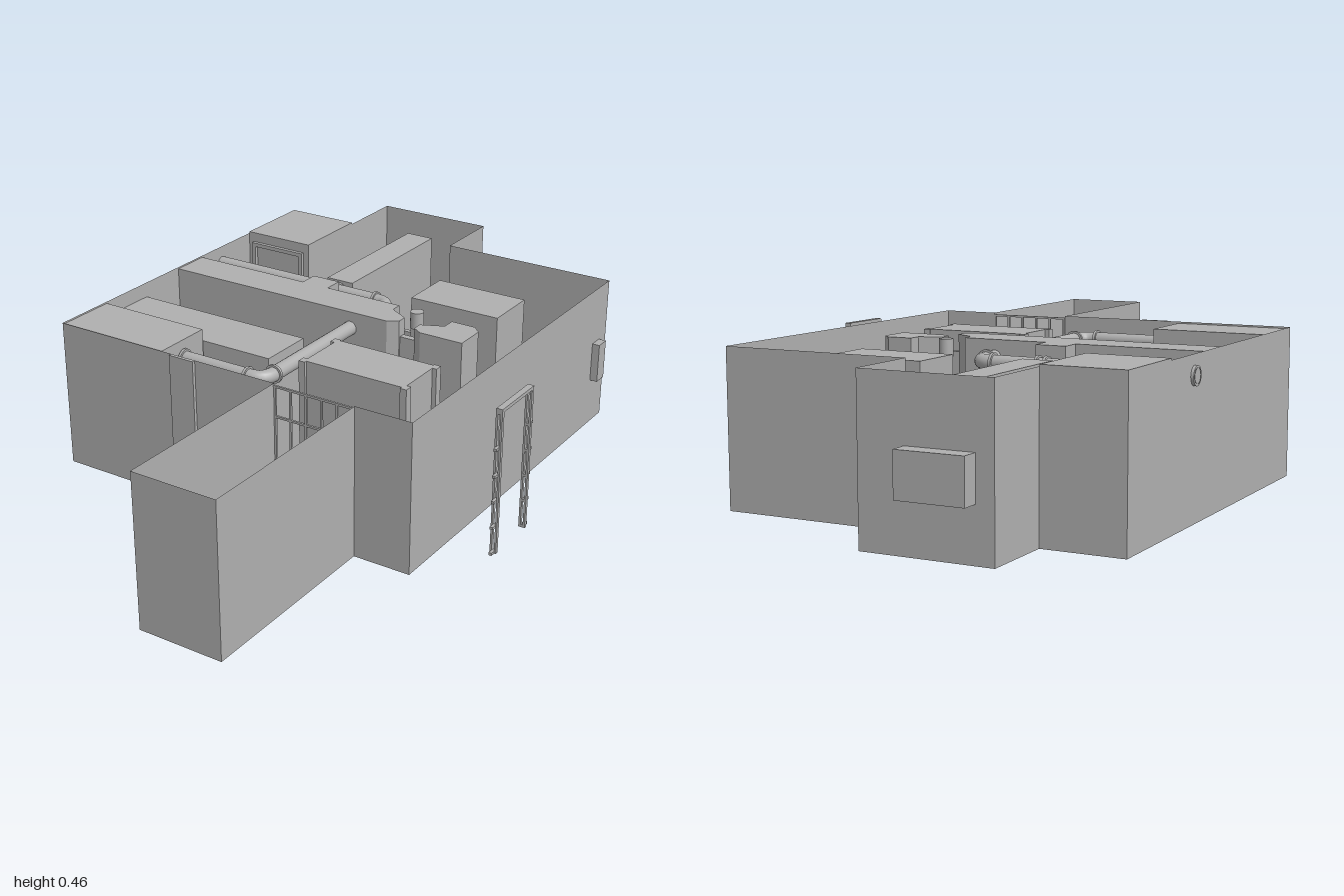
import * as THREE from 'three';

const grey = new THREE.MeshStandardMaterial({ color: 0xb0b0b0, side: THREE.DoubleSide });
grey.name = 'plain grey';

const FLOOR = 0.015, TOP = 0.455;

export function createModel() {
  const model = new THREE.Group();
  model.name = 'openRoofBuilding';

  const add = (name, geo) => {
    const m = new THREE.Mesh(geo, grey);
    m.name = name;
    model.add(m);
    return m;
  };
  // box given by its extents
  const box = (name, x0, x1, y0, y1, z0, z1) => {
    const m = add(name, new THREE.BoxGeometry(x1 - x0, y1 - y0, z1 - z0));
    m.position.set((x0 + x1) / 2, (y0 + y1) / 2, (z0 + z1) / 2);
    return m;
  };
  // upright sheet between two plan points
  const wall = (name, [xa, za], [xb, zb], y0 = FLOOR, y1 = TOP) => {
    const m = add(name, new THREE.PlaneGeometry(Math.hypot(xb - xa, zb - za), y1 - y0));
    m.position.set((xa + xb) / 2, (y0 + y1) / 2, (za + zb) / 2);
    m.rotation.y = Math.atan2(-(zb - za), xb - xa);
    return m;
  };
  // upright prism from a plan outline of [x, z] points
  const plan = (pts) => new THREE.Shape(pts.map(([x, z]) => new THREE.Vector2(x, -z)));
  const prism = (name, pts, y0, y1) => {
    const g = new THREE.ExtrudeGeometry(plan(pts), { depth: y1 - y0, bevelEnabled: false });
    g.rotateX(-Math.PI / 2);
    const m = add(name, g);
    m.position.y = y0;
    return m;
  };
  // sloping sheet falling towards +x
  const ramp = (name, x0, x1, yHigh, yLow, z0, z1) => {
    const m = add(name, new THREE.PlaneGeometry(Math.hypot(x1 - x0, yHigh - yLow), z1 - z0).rotateX(-Math.PI / 2));
    m.position.set((x0 + x1) / 2, (yHigh + yLow) / 2, (z0 + z1) / 2);
    m.rotation.z = -Math.atan2(yHigh - yLow, x1 - x0);
    return m;
  };

  // floor with a shaft opening
  const outline = [
    [0.34, 0.42], [0.51, 0.42], [0.51, -0.73], [-0.04, -0.73], [-0.04, -0.95], [-0.41, -0.95],
    [-0.41, -0.73], [-0.64, -0.73], [-0.64, 0.42], [0.09, 0.42],
  ];
  const annex = [[0.09, 0.42], [0.09, 1], [0.34, 1], [0.34, 0.42]];
  const floorShape = plan([...outline, ...annex.slice(1, 3)]);
  floorShape.holes.push(plan([[-0.255, -0.835], [-0.255, -0.75], [-0.175, -0.75], [-0.175, -0.835]]));
  add('floor', new THREE.ShapeGeometry(floorShape).rotateX(-Math.PI / 2)).position.y = FLOOR;

  // outer walls, open where the annex joins
  for (const path of [outline, annex])
    for (let i = 0; i < path.length - 1; i++) wall('outerWall', path[i], path[i + 1]);

  // outside fittings
  box('backVent', -0.36, -0.17, 0.16, 0.28, -1, -0.95);
  box('sideCabinet', 0.51, 0.533, 0.16, 0.28, -0.685, -0.64);
  box('frontPanel', -0.25, -0.17, FLOOR, TOP, 0.42, 0.43);

  // gate between room and annex
  for (let i = 0; i <= 5; i++) {
    const x = 0.094 + i * 0.0484;
    box('gateBar', x - 0.003, x + 0.003, FLOOR, 0.45, 0.417, 0.423);
  }
  for (const y of [0.1, 0.23, 0.36, 0.447]) box('gateRail', 0.09, 0.34, y - 0.003, y + 0.003, 0.417, 0.423);

  // solid corner rooms
  box('backRoom', -0.64, -0.41, FLOOR, 0.46, -0.73, -0.475);
  box('frontRoom', -0.64, -0.29, FLOOR, 0.45, 0.23, 0.418);
  for (const x of [-0.615, -0.435]) box('doorPost', x - 0.006, x + 0.006, FLOOR, 0.43, -0.475, -0.463);
  box('doorHead', -0.621, -0.429, 0.418, 0.43, -0.475, -0.463);

  // central dividing block and its notched end
  prism('dividingBlock', [
    [-0.64, -0.105], [-0.64, -0.225], [-0.26, -0.225], [-0.26, -0.285], [-0.17, -0.285], [-0.17, -0.225],
    [0.08, -0.225], [0.08, -0.19], [0.14, -0.155], [0.14, -0.125], [0.11, -0.105],
  ], FLOOR, 0.45);
  prism('endBlock', [
    [0.22, -0.105], [0.19, -0.125], [0.19, -0.155], [0.255, -0.185], [0.255, -0.225],
    [0.33, -0.225], [0.355, -0.2], [0.355, -0.105],
  ], FLOOR, 0.44);
  box('notchWall', 0.14, 0.19, FLOOR, 0.4, -0.15, -0.13);
  const valve = add('valve', new THREE.CylinderGeometry(0.02, 0.02, 0.05, 16));
  valve.position.set(0.14, 0.42, -0.225);
  wall('lowPartition', [0.355, -0.105], [0.51, -0.105], FLOOR, 0.2);

  // long duct over the shaft
  const duct = box('backDuct', -0.26, -0.17, 0.03, 0.42, -0.84, -0.36);
  duct.geometry.setIndex([...duct.geometry.index.array].filter((_, i) => i < 18 || i >= 24));

  // large cabinets
  box('leftCabinet', -0.64, -0.07, FLOOR, 0.41, 0.05, 0.22);
  box('frontMachine', 0.05, 0.365, FLOOR, 0.435, 0.055, 0.222);
  for (const x of [0.047, 0.368])
    for (const z of [0.062, 0.218]) box('machinePost', x - 0.01, x + 0.01, FLOOR, 0.435, z - 0.012, z + 0.012);
  box('backMachine', 0.04, 0.33, FLOOR, 0.42, -0.53, -0.36);
  box('lowBench', -0.17, 0.04, FLOOR, 0.2, -0.53, -0.365);
  box('backPartition', -0.17, 0.51, FLOOR, 0.22, -0.55, -0.535);
  box('frontCurb', -0.17, 0.51, FLOOR, 0.06, 0.4, 0.42);
  box('sideCurb', 0.485, 0.51, FLOOR, 0.06, 0.05, 0.4);

  // sloping surfaces
  ramp('backRamp', -0.41, -0.26, 0.15, 0.02, -0.82, -0.55);
  ramp('middleRamp', -0.31, -0.22, 0.1, 0.03, -0.105, 0.05);
  ramp('steepRamp', -0.125, -0.075, 0.3, 0.02, -0.105, 0.05);

  // overhead pipe with rounded corners
  const Y = 0.4, R = 0.021;
  const v = (x, z) => new THREE.Vector3(x, Y, z);
  const path = new THREE.CurvePath();
  path.add(new THREE.LineCurve3(v(-0.65, -0.325), v(-0.06, -0.325)));
  path.add(new THREE.QuadraticBezierCurve3(v(-0.06, -0.325), v(-0.013, -0.325), v(-0.013, -0.278)));
  path.add(new THREE.LineCurve3(v(-0.013, -0.278), v(-0.013, 0.278)));
  path.add(new THREE.QuadraticBezierCurve3(v(-0.013, 0.278), v(-0.013, 0.325), v(-0.06, 0.325)));
  path.add(new THREE.LineCurve3(v(-0.06, 0.325), v(-0.285, 0.325)));
  add('overheadPipe', new THREE.TubeGeometry(path, 160, R, 16));

  // pipe flanges: x, z, whether the pipe runs along x
  for (const [x, z, alongX] of [
    [-0.645, -0.325, true], [-0.225, -0.325, true], [-0.2, -0.325, true], [-0.065, -0.325, true],
    [-0.013, -0.27, false], [-0.013, 0.275, false], [-0.065, 0.325, true], [-0.28, 0.325, true],
  ]) {
    const f = add('pipeFlange', new THREE.CylinderGeometry(R + 0.006, R + 0.006, 0.008, 20));
    f.position.set(x, Y, z);
    f.rotation[alongX ? 'z' : 'x'] = Math.PI / 2;
  }

  // free-standing ladder frame beside the building
  for (const [z, s] of [[0.04, -1], [0.204, 1]]) {
    for (const x of [0.634, 0.647]) box('ladderPost', x - 0.003, x + 0.003, 0.018, 0.44, z - 0.005, z + 0.005);
    for (const y of [0.022, 0.1, 0.177, 0.252, 0.33, 0.43]) {
      box('ladderTie', 0.632, 0.65, y - 0.004, y + 0.004, z - 0.005, z + 0.005);
      if (y < 0.4) box('ladderPeg', 0.636, 0.645, y - 0.004, y + 0.004, z + s * 0.012 - 0.008, z + s * 0.012 + 0.008);
    }
  }
  box('ladderHead', 0.632, 0.65, 0.432, 0.442, 0.035, 0.209);

  // small feet under the floor
  box('underFoot', -0.375, -0.345, 0, FLOOR, 0.125, 0.165);
  box('underFoot', -0.47, -0.39, 0.01, FLOOR, 0.23, 0.238);
  box('underFoot', -0.1, 0.04, 0.008, FLOOR, -0.226, -0.212);
  box('underFoot', -0.26, -0.25, 0.01, FLOOR, -0.49, -0.41);
  box('underFoot', 0.36, 0.45, 0.01, FLOOR, -0.54, -0.53);

  return model;
}
